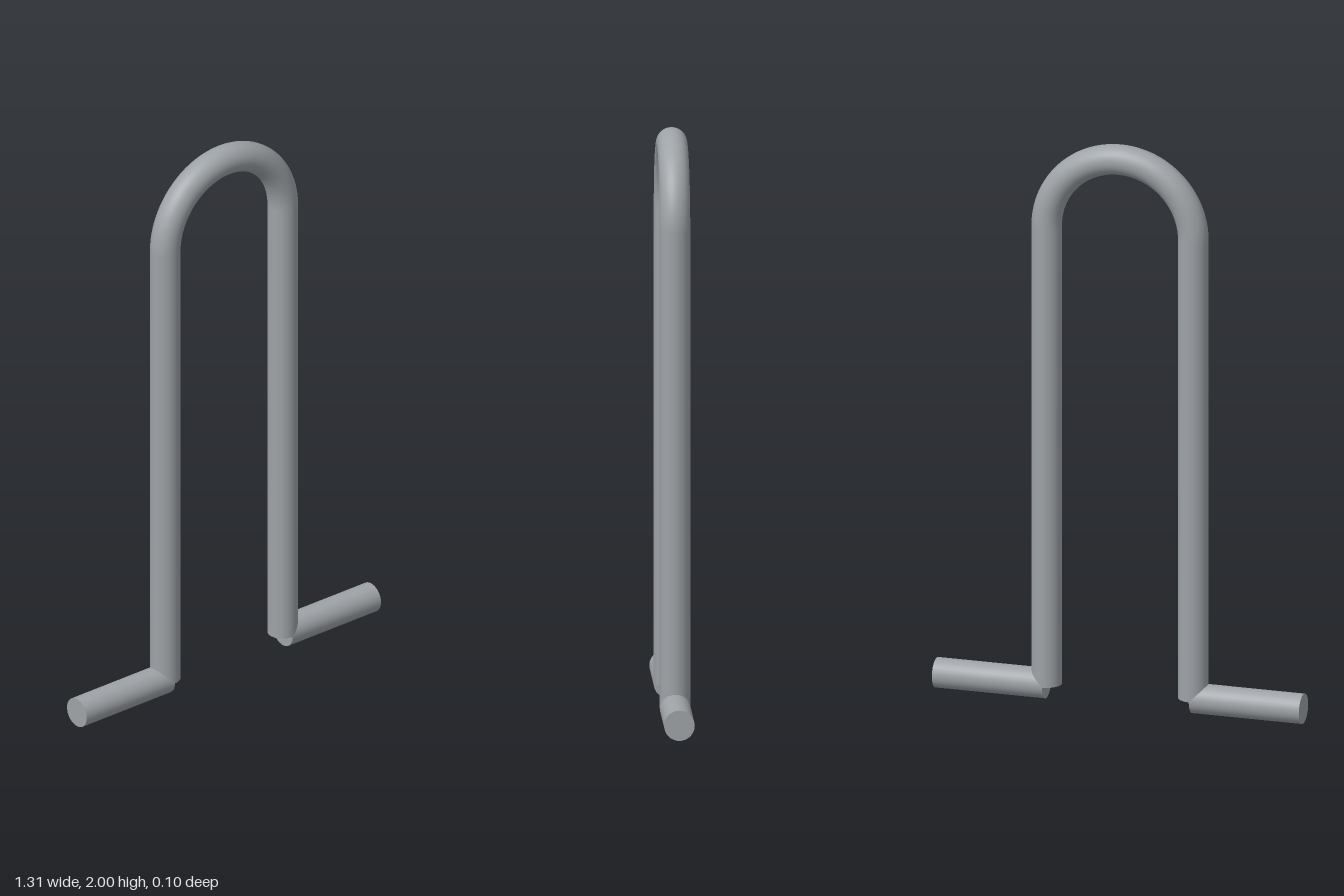
import * as THREE from 'three';

const R = 0.052;       // rod radius
const HALF = 0.261;    // half the distance between the legs
const BEND_Y = 2 - R - HALF; // height where the arch starts
const FOOT_END = 0.653;

export function createModel() {
  const group = new THREE.Group();
  group.name = 'bentRodHandle';
  const steel = new THREE.MeshStandardMaterial({ color: 0x9ea3a7 });
  steel.name = 'steelGrey';

  const add = (name, geometry, x, y) => {
    const mesh = new THREE.Mesh(geometry, steel);
    mesh.name = name;
    mesh.position.set(x, y, 0);
    group.add(mesh);
    return mesh;
  };

  // Half-ring joining the tops of the legs
  add('arch', new THREE.TorusGeometry(HALF, R, 32, 64, Math.PI), 0, BEND_Y);

  for (const [side, s] of [['left', 1], ['right', -1]]) {
    // Upright leg, ending at the foot's axis
    const legLength = BEND_Y - R;
    add(side + 'Leg', new THREE.CylinderGeometry(R, R, legLength, 32), s * HALF, R + legLength / 2);

    // Foot pointing outwards, starting at the leg's axis
    const footLength = FOOT_END - HALF;
    const foot = add(side + 'Foot', new THREE.CylinderGeometry(R, R, footLength, 32), s * (HALF + footLength / 2), R);
    foot.rotation.z = -s * Math.PI / 2;
  }
  return group;
}
